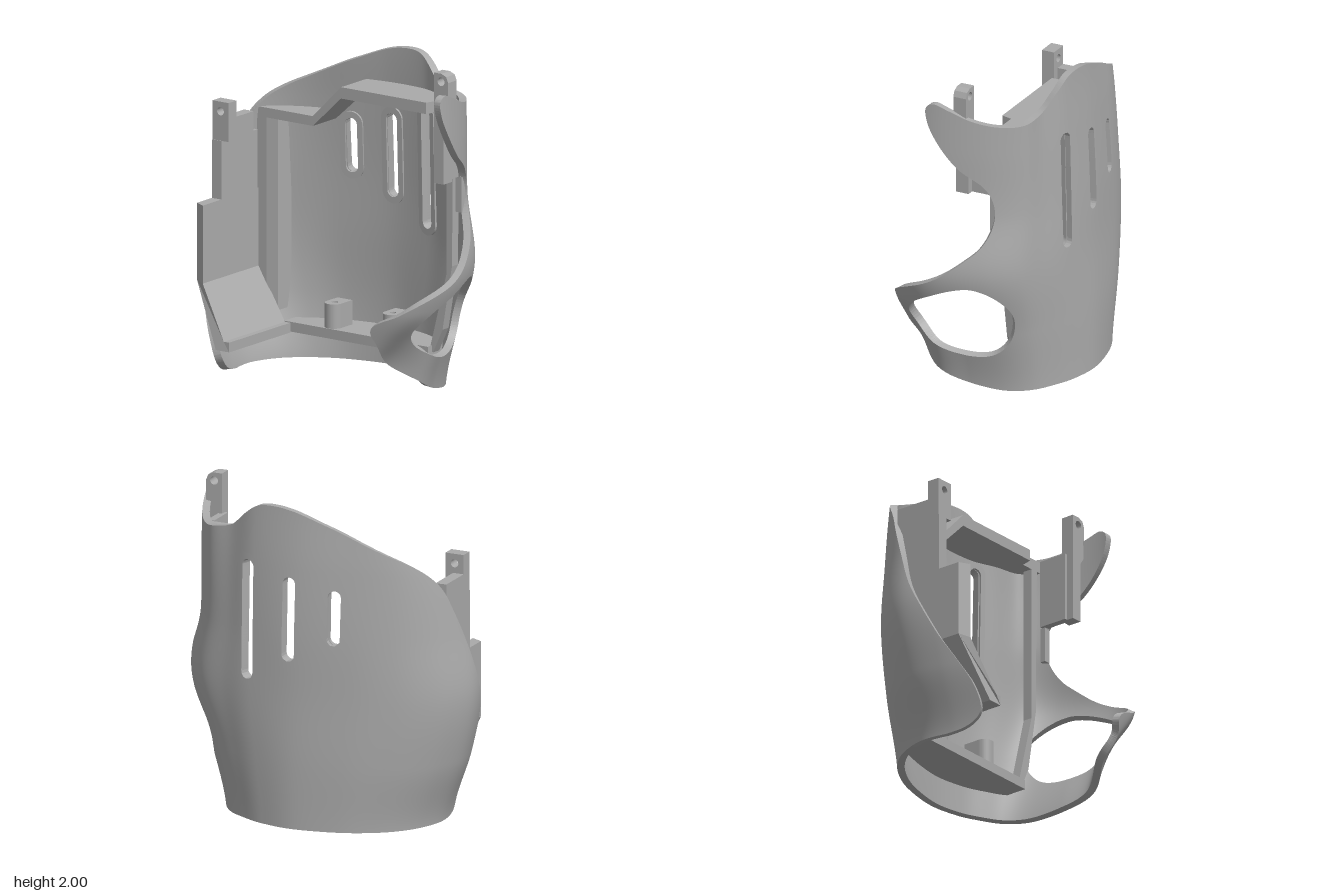
import * as THREE from 'three';

const V = (x, y) => new THREE.Vector2(x, y);
const clamp = THREE.MathUtils.clamp;
const grey = new THREE.MeshStandardMaterial({ color: 0xaaaaaa });
grey.name = 'plain grey';

// Widest cross-section (x, z), running from the right edge round the back to the left edge
const SECTION = [[-.80, .45], [-.90, .25], [-.94, .05], [-.88, -.12], [-.77, -.25], [-.6, -.36], [-.35, -.45],
  [0, -.5], [.3, -.47], [.5, -.41], [.68, -.33], [.81, -.2], [.90, 0], [.935, .2], [.89, .37], [.79, .47], [.62, .52]];
// Width of each side and lean of the back, every 0.4 of height; share of the lean at each section point
const WIDE_R = [.78, .92, 1, .96, .91, .82];
const WIDE_L = [.72, .85, 1, .93, .92, .91];
const LEAN = [0, 0, .01, .015, .03, .05];
const SHARE = [0, 0, 0, 0, .4, 1, 1.6, 1.3, .6, .6, -.4, 0, 0, 0, 0, 0, 0];
const THICK = 0.045;

// Uniform Catmull-Rom through get(0..n-1)
function spline(get, n, t) {
  const i = clamp(Math.floor(t), 0, n - 2), f = t - i;
  const p = [-1, 0, 1, 2].map(k => get(clamp(i + k, 0, n - 1)));
  return p[1] + 0.5 * f * (p[2] - p[0] + f * (2 * p[0] - 5 * p[1] + 4 * p[2] - p[3] + f * (3 * (p[1] - p[2]) + p[3] - p[0])));
}

// Point on the outer surface: s runs along the section, y is height; the left flap curls in lower down
function surface(s, y) {
  const level = a => spline(i => a[i], 6, y / 0.4);
  const r = level(WIDE_R), l = level(WIDE_L), lean = level(LEAN);
  const curl = .13 * (1 - THREE.MathUtils.smoothstep(y, .2, .6));
  return new THREE.Vector3(
    spline(i => SECTION[i][0] * (i < 7 ? r : l) - (i > 13 ? curl : 0), 17, s), y,
    spline(i => SECTION[i][1] + lean * SHARE[i], 17, s));
}

function inward(s, y) {
  const e = 0.02;
  const ds = surface(s + e, y).sub(surface(s - e, y)), dy = surface(s, y + e).sub(surface(s, y - e));
  return ds.cross(dy).normalize();
}

// Depth of the outer back surface at a given x and y
function backZ(x, y) {
  let a = 3, b = 11.5;
  for (let i = 0; i < 24; i++) {
    const m = (a + b) / 2;
    if (surface(m, y).x < x) a = m; else b = m;
  }
  return surface(a, y).z;
}

// Outline of the shell and the thumb opening, in (s, y)
const OUTLINE = [[7, 0], [9.5, 0], [11, .005], [11.5, .02], [12.25, .06], [13, .13], [14.2, .28], [15.1, .39], [15.7, .5],
  [14.85, .6], [13.6, .7], [12.75, .77], [12.25, .83], [11.65, .93], [11.3, 1], [11, 1.12], [10.95, 1.25], [11.25, 1.38],
  [12, 1.5], [12.6, 1.65], [12.95, 1.78], [13, 1.87], [12.75, 1.9], [12.3, 1.87], [11.6, 1.81], [11, 1.78], [10.4, 1.77],
  [9.7, 1.78], [9, 1.81], [8.4, 1.9], [7.9, 1.97], [7.5, 1.98], [7, 1.955], [6.35, 1.88], [5.6, 1.79], [5, 1.73],
  [4.3, 1.67], [3.6, 1.6], [3, 1.5], [2.6, 1.35], [2.15, 1.15], [1.75, .95], [1.35, .78], [.95, .6], [.5, .4], [.2, .25],
  [.15, .12], [.6, .03], [1.2, 0], [3, 0], [5, 0]];
const OPENING = [[13.88, .48], [13.47, .59], [12.75, .67], [12, .73], [11.5, .74], [10.85, .67], [10.35, .53],
  [10.55, .37], [11.2, .26], [11.75, .24], [12.5, .27], [13.5, .37]];
// Slots: x, lowest y, highest y
const SLOTS = [[-.25, 1.16, 1.5], [.03, 1.04, 1.56], [.31, .89, 1.63]];
const SLOT_R = 0.04, S_SCALE = 0.17;

function smoothLoop(pts, n) {
  const c = new THREE.CatmullRomCurve3(pts.map(p => new THREE.Vector3(p[0] * S_SCALE, p[1], 0)), true);
  return c.getPoints(n).map(p => [p.x, Math.max(0, p.y)]);
}

// Signed distance to a closed loop, positive inside
function loopDistance(loop, x, y) {
  let best = Infinity, inside = false;
  for (let i = 0; i < loop.length - 1; i++) {
    const [ax, ay] = loop[i], [bx, by] = loop[i + 1], dx = bx - ax, dy = by - ay;
    const t = clamp(((x - ax) * dx + (y - ay) * dy) / (dx * dx + dy * dy || 1), 0, 1);
    best = Math.min(best, Math.hypot(x - ax - t * dx, y - ay - t * dy));
    if ((ay > y) !== (by > y) && x < ax + (y - ay) / dy * dx) inside = !inside;
  }
  return inside ? best : -best;
}

const slotDistance = p => p.z > -.2 ? 1 : Math.min(...SLOTS.map(([x, a, b]) =>
  Math.hypot(p.x - x, p.y - clamp(p.y, a + SLOT_R, b - SLOT_R)) - SLOT_R));

// Curved shell: a fine grid trimmed to the outline, thickened and closed with a rim
function buildShell(group) {
  const outline = smoothLoop(OUTLINE, 240), opening = smoothLoop(OPENING, 70);
  const NS = 200, NY = 120, grid = [];
  for (let j = 0; j <= NY; j++) for (let i = 0; i <= NS; i++) {
    const s = 16 * i / NS, y = -.02 + 2.04 * j / NY;
    const f = Math.min(loopDistance(outline, s * S_SCALE, y), -loopDistance(opening, s * S_SCALE, y), slotDistance(surface(s, y)));
    grid.push({ s, y, f });
  }
  const finish = v => {
    if (v.out) return v;
    v.n = inward(v.s, v.y);
    const p = surface(v.s, v.y), d = Math.max(0, slotDistance(p));
    v.out = p.clone().addScaledVector(v.n, -.014 * Math.exp(-((d / .045) ** 2)));
    v.in = p.clone().addScaledVector(v.n, THICK);
    return v;
  };
  const pos = [], nor = [], rim = [];
  const put = (v, side) => {
    pos.push(...v[side].toArray());
    nor.push(...(side === 'in' ? v.n : v.n.clone().negate()).toArray());
  };
  const trim = tri => {
    const poly = [];
    let leave, enter;
    tri.forEach((a, k) => {
      const b = tri[(k + 1) % 3];
      if (a.f > 0) poly.push(finish(a));
      if ((a.f > 0) !== (b.f > 0)) {
        const t = a.f / (a.f - b.f);
        const c = finish({ s: a.s + t * (b.s - a.s), y: a.y + t * (b.y - a.y) });
        poly.push(c);
        if (a.f > 0) leave = c; else enter = c;
      }
    });
    for (let k = 1; k + 1 < poly.length; k++) {
      [poly[0], poly[k], poly[k + 1]].forEach(v => put(v, 'in'));
      [poly[0], poly[k + 1], poly[k]].forEach(v => put(v, 'out'));
    }
    if (leave) for (const p of [leave.out, enter.out, enter.in, leave.out, enter.in, leave.in]) rim.push(...p.toArray());
  };
  for (let j = 0; j < NY; j++) for (let i = 0; i < NS; i++) {
    const a = grid[j * (NS + 1) + i], b = grid[j * (NS + 1) + i + 1];
    const c = grid[(j + 1) * (NS + 1) + i + 1], d = grid[(j + 1) * (NS + 1) + i];
    trim([a, b, c]); trim([a, c, d]);
  }
  const skin = new THREE.BufferGeometry();
  skin.setAttribute('position', new THREE.Float32BufferAttribute(pos, 3));
  skin.setAttribute('normal', new THREE.Float32BufferAttribute(nor, 3));
  add(group, 'shell', skin);
  add(group, 'shellRim', facets(rim));
}

function facets(pos) {
  const g = new THREE.BufferGeometry();
  g.setAttribute('position', new THREE.Float32BufferAttribute(pos, 3));
  g.computeVertexNormals();
  return g;
}

function add(group, name, geometry) {
  const m = new THREE.Mesh(geometry, grey);
  m.name = name;
  group.add(m);
  return m;
}

function box(group, name, x0, x1, y0, y1, z0, z1) {
  add(group, name, new THREE.BoxGeometry(x1 - x0, y1 - y0, z1 - z0)).position.set((x0 + x1) / 2, (y0 + y1) / 2, (z0 + z1) / 2);
}

// Front-facing profile with optional round hole, extruded from z0 to z1
function plate(group, name, pts, z0, z1, hole) {
  const shape = new THREE.Shape(pts.map(p => V(...p)));
  if (hole) shape.holes.push(new THREE.Path().absarc(hole[0], hole[1], hole[2], 0, Math.PI * 2, true));
  const m = add(group, name, new THREE.ExtrudeGeometry(shape, { depth: z1 - z0, bevelEnabled: false, curveSegments: 20 }));
  m.position.z = z0;
  return m;
}

// Ledge whose back follows the shell; columns are [x, bottom, top, front z]
function ledge(group, name, cols) {
  const rings = cols.map(([x, y0, y1, zf]) => [[x, y0, zf], [x, y1, zf],
    [x, y1, Math.min(zf - .01, backZ(x, y1) + .02)], [x, y0, Math.min(zf - .01, backZ(x, y0) + .02)]]);
  const pos = [], quad = (a, b, c, d) => pos.push(...a, ...b, ...c, ...a, ...c, ...d);
  for (let i = 0; i + 1 < rings.length; i++) for (let k = 0; k < 4; k++) {
    const n = (k + 1) % 4;
    quad(rings[i][k], rings[i + 1][k], rings[i + 1][n], rings[i][n]);
  }
  const last = rings[rings.length - 1];
  quad(...rings[0]);
  quad(last[3], last[2], last[1], last[0]);
  add(group, name, facets(pos));
}

const range = (a, b, n) => Array.from({ length: n + 1 }, (_, i) => a + (b - a) * i / n);

function stadium(path, r, a, b) {
  path.absarc(0, b - r, r, 0, Math.PI, false);
  path.absarc(0, a + r, r, Math.PI, Math.PI * 2, false);
  path.closePath();
  return path;
}

export function createModel() {
  const g = new THREE.Group();
  g.name = 'brace';
  buildShell(g);
  // Collars round the slots on the inside
  for (const [x, a, b] of SLOTS) {
    const mid = (a + b) / 2, h = (b - a) / 2;
    const ring = stadium(new THREE.Shape(), .075, -h - .04, h + .04);
    ring.holes.push(stadium(new THREE.Path(), SLOT_R, -h, h));
    const m = add(g, 'slotCollar', new THREE.ExtrudeGeometry(ring, { depth: .035, bevelEnabled: false, curveSegments: 12 }));
    m.position.set(x, mid, backZ(x, mid) + .026);
    m.rotation.set(Math.atan((backZ(x, b) - backZ(x, a)) / (b - a)),
      -Math.atan((backZ(x + .05, mid) - backZ(x - .05, mid)) / .1), 0, 'YXZ');
  }
  // Stepped top shelf and bottom shelf
  const rise = x => clamp((x + .345) / .21, 0, 1);
  ledge(g, 'topShelf', [...range(-.76, -.345, 6), ...range(-.31, -.135, 5), ...range(-.08, .5, 9), .52, .6, .68]
    .map(x => [x, 1.48 + .2 * rise(x), 1.54 + .21 * rise(x), x > .51 ? -.2 : -.13]));
  ledge(g, 'bottomShelf', range(-.58, .49, 14).map(x => [x, .18, .24, -.16]));
  // Right side wall with a slanted front, its filler at the back and its hinge post
  const wall = plate(g, 'rightWall', [[-.82, .57], [-.62, .18], [-.52, .18], [-.52, .24], [-.56, .24], [-.75, .56], [-.75, 1.04], [-.82, 1.04]], -.14, .47);
  const p = wall.geometry.attributes.position;
  for (let i = 0; i < p.count; i++) if (p.getZ(i) > .1) p.setZ(i, .61 - .5 * Math.max(0, -p.getX(i) - .66));
  wall.geometry.computeVertexNormals();
  box(g, 'rightWallMiddle', -.82, -.75, 1.04, 1.4, -.12, .24);
  box(g, 'rightWallTop', -.82, -.75, 1.4, 1.52, -.08, .16);
  ledge(g, 'rightFiller', [[-.76, .56, 1.5, -.13], [-.69, .44, 1.5, -.13], [-.62, .3, 1.5, -.15]]);
  plate(g, 'rightHingePost', [[-.82, 1.4], [-.7, 1.4], [-.7, 1.64], [-.82, 1.64]], .155, .235, [-.76, 1.58, .025]);
  // Left side wall and its hinge post
  plate(g, 'leftWall', [[.5, .2], [.57, .35], [.64, .75], [.65, 1.7], [.6, 1.7], [.6, .7], [.47, .2]], -.26, -.2);
  box(g, 'leftUpperWall', .67, .715, 1.32, 1.75, -.19, 0);
  box(g, 'leftLug', .69, .735, 1.1, 1.32, -.205, -.17);
  plate(g, 'leftHingePost', [[.69, 1.32], [.76, 1.32], [.76, 1.7], [.795, 1.75], [.795, 1.95], [.78, 1.985], [.745, 2], [.69, 2]],
    -.04, .045, [.742, 1.95, .026]);
  // Screw bosses on the bottom shelf, rounded towards the front
  for (const x of [-.255, .178]) {
    const s = new THREE.Shape();
    s.moveTo(.055, .08).lineTo(-.055, .08).lineTo(-.055, -.03);
    s.absarc(0, -.03, .055, Math.PI, Math.PI * 2, false);
    s.holes.push(new THREE.Path().absarc(0, -.02, .02, 0, Math.PI * 2, true));
    const m = add(g, 'screwBoss', new THREE.ExtrudeGeometry(s, { depth: .16, bevelEnabled: false, curveSegments: 12 }));
    m.rotation.x = -Math.PI / 2;
    m.position.set(x, .23, -.25);
  }
  return g;
}
